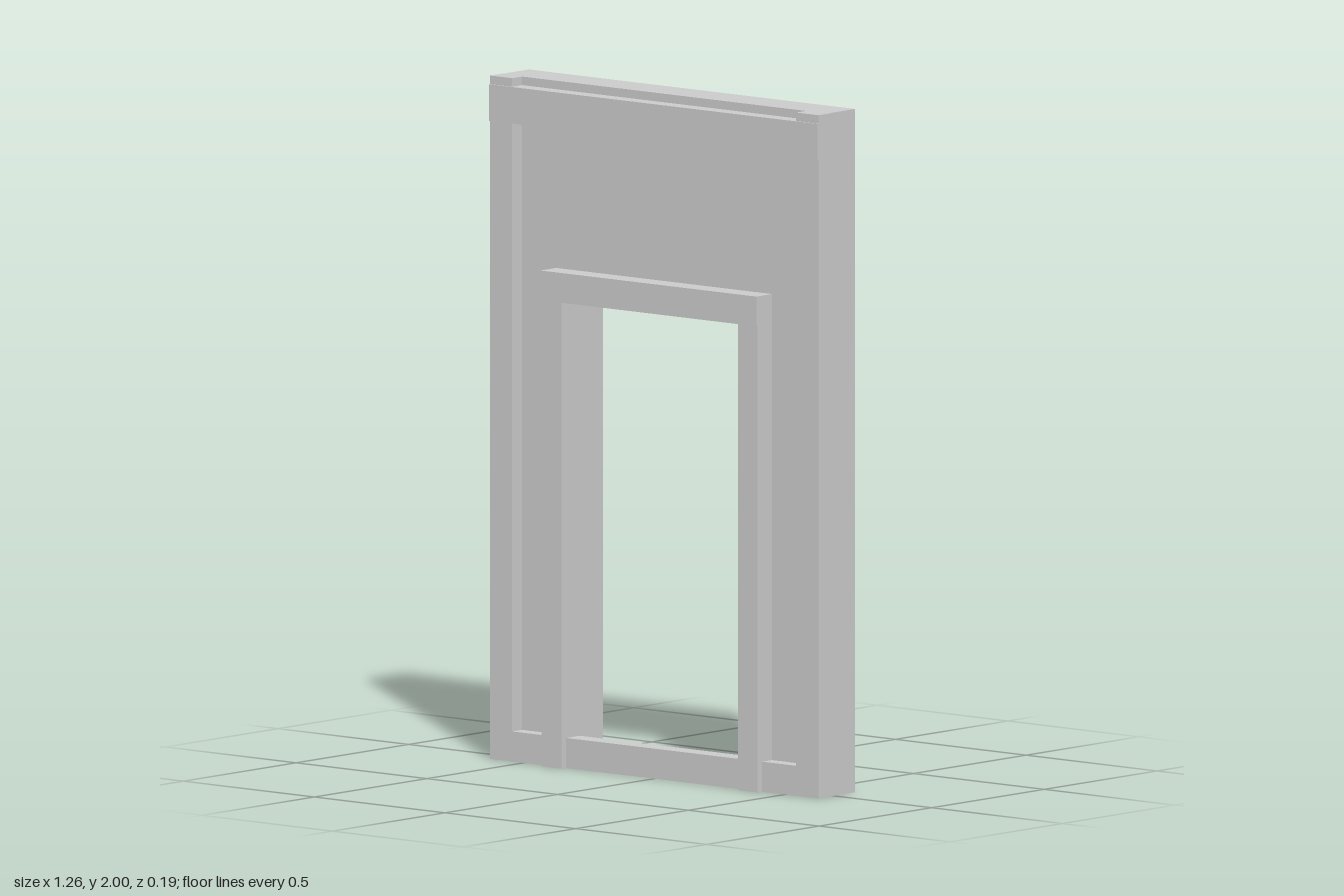
import * as THREE from 'three';

export function createModel() {
  const group = new THREE.Group();
  const grey = new THREE.MeshStandardMaterial({ color: 0xcccccc });
  grey.name = 'plain grey';

  // Box given by its minimum and maximum corners
  const block = (name, [x0, y0, z0], [x1, y1, z1]) => {
    const mesh = new THREE.Mesh(new THREE.BoxGeometry(x1 - x0, y1 - y0, z1 - z0), grey);
    mesh.position.set((x0 + x1) / 2, (y0 + y1) / 2, (z0 + z1) / 2);
    mesh.name = name;
    group.add(mesh);
  };

  const W = 0.628, inner = 0.543;     // outer frame
  const doorOut = 0.413, doorIn = 0.337; // door surround
  const back = -0.097, panel = 0.027, frameBack = 0.01, frameFront = 0.071;

  // Wall slab with the doorway cut out, open at the bottom
  const outline = new THREE.Shape();
  [[-0.624, 0], [-0.341, 0], [-0.341, 1.37], [0.341, 1.37], [0.341, 0], [0.624, 0], [0.624, 2], [-0.624, 2]]
    .forEach(([x, y], i) => (i ? outline.lineTo(x, y) : outline.moveTo(x, y)));
  const wall = new THREE.Mesh(
    new THREE.ExtrudeGeometry(outline, { depth: panel - back, bevelEnabled: false }), grey);
  wall.position.z = back;
  wall.name = 'wall';
  group.add(wall);

  // Posts at the outer edges and beside the doorway
  for (const [side, s] of [['left', 1], ['right', -1]]) {
    const post = (name, a, b, top, front) =>
      block(`${side}${name}`, [Math.min(s * a, s * b), 0, frameBack], [Math.max(s * a, s * b), top, front]);
    post('OuterPost', inner, W, 2, frameFront);
    post('DoorPost', doorIn, doorOut, 1.365, 0.091);
  }

  // Horizontal rails: sill, top rail (leaving a ledge above it) and door lintel
  block('sill', [-inner, 0, frameBack], [inner, 0.088, frameFront]);
  block('topRail', [-W, 1.868, frameBack], [W, 1.975, 0.076]);
  block('doorLintel', [-doorOut, 1.365, frameBack], [doorOut, 1.452, 0.097]);

  return group;
}
